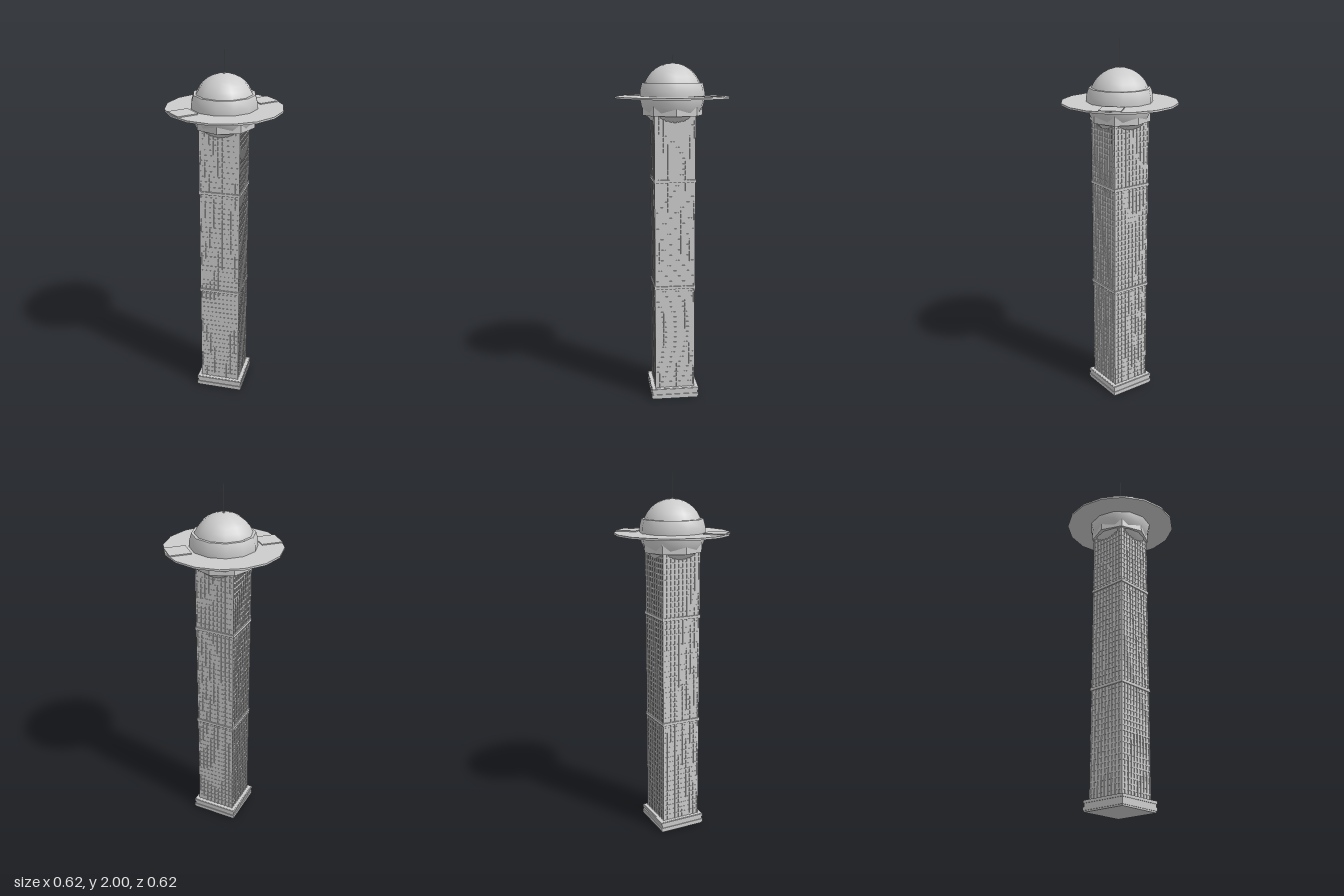
import * as THREE from 'three';

export function createModel() {
  const model = new THREE.Group();
  const grey = new THREE.MeshStandardMaterial({ color: 0xcccccc });
  grey.name = 'light grey';

  function add(name, geometry, x = 0, y = 0, z = 0, parent = model) {
    const mesh = new THREE.Mesh(geometry, grey);
    mesh.name = name;
    mesh.position.set(x, y, z);
    parent.add(mesh);
    return mesh;
  }
  // Square slab centred on the tower axis, between two heights
  const slab = (name, half, y0, y1, parent) =>
    add(name, new THREE.BoxGeometry(half * 2, y1 - y0, half * 2), 0, (y0 + y1) / 2, 0, parent);

  // Plinth with two slim mouldings
  slab('plinth', 0.128, 0, 0.06);
  slab('plinthLowerMoulding', 0.132, 0.008, 0.026);
  slab('plinthUpperMoulding', 0.132, 0.044, 0.058);

  // Tower shaft
  const bottom = 0.06, top = 1.59;
  slab('shaftCore', 0.106, bottom, top);

  // Facade grid: floor ledges and vertical mullions
  const facade = new THREE.Group();
  facade.name = 'facade';
  model.add(facade);
  const floors = 52;
  for (let i = 1; i < floors; i++) {
    const y = bottom + ((top - bottom) * i) / floors;
    slab('floorLedge', 0.1085, y - 0.004, y + 0.004, facade);
  }
  const columns = 9;
  const mullion = new THREE.BoxGeometry(0.008, top - bottom, 0.006);
  for (let side = 0; side < 4; side++) {
    const wall = new THREE.Group();
    wall.name = 'wallMullions';
    wall.rotation.y = (side * Math.PI) / 2;
    facade.add(wall);
    for (let i = 0; i <= columns; i++) {
      const x = -0.106 + (0.212 * i) / columns;
      add('mullion', mullion, x, (bottom + top) / 2, 0.107, wall);
    }
  }
  for (const y of [0.645, 1.235]) slab('beltCourse', 0.114, y - 0.008, y + 0.008);

  // Octagonal collar with corners on the axes
  add('collar', new THREE.CylinderGeometry(0.163, 0.163, 0.075, 8).toNonIndexed(), 0, 1.6175, 0)
    .geometry.computeVertexNormals();

  // Outer bowl, cut off below the dome
  const cut = Math.acos(0.067 / 0.177);
  add('bowl', new THREE.SphereGeometry(0.177, 12, 8, Math.PI / 2, Math.PI * 2, cut, Math.PI - cut), 0, 1.685, 0);
  const rim = new THREE.RingGeometry(0.13, 0.1638, 12);
  rim.rotateX(-Math.PI / 2);
  add('bowlRim', rim, 0, 1.752, 0);

  // Dome
  add('dome', new THREE.SphereGeometry(0.16, 12, 8, 0, Math.PI * 2, 0, Math.PI / 2), 0, 1.695, 0);

  // Flat ring platform and its two landing plates
  add('platform', new THREE.CylinderGeometry(0.31, 0.31, 0.01, 16), 0, 1.675, 0);
  for (const s of [1, -1]) {
    const plate = add('landingPlate', new THREE.BoxGeometry(0.114, 0.007, 0.114), s * 0.172, 1.682, -s * 0.172);
    plate.rotation.y = Math.PI / 4;
  }

  // Thin mast on a small foot
  slab('mastFoot', 0.005, 1.845, 1.858);
  add('mast', new THREE.CylinderGeometry(0.0006, 0.0014, 0.15, 6), 0, 1.925, 0);
  return model;
}
